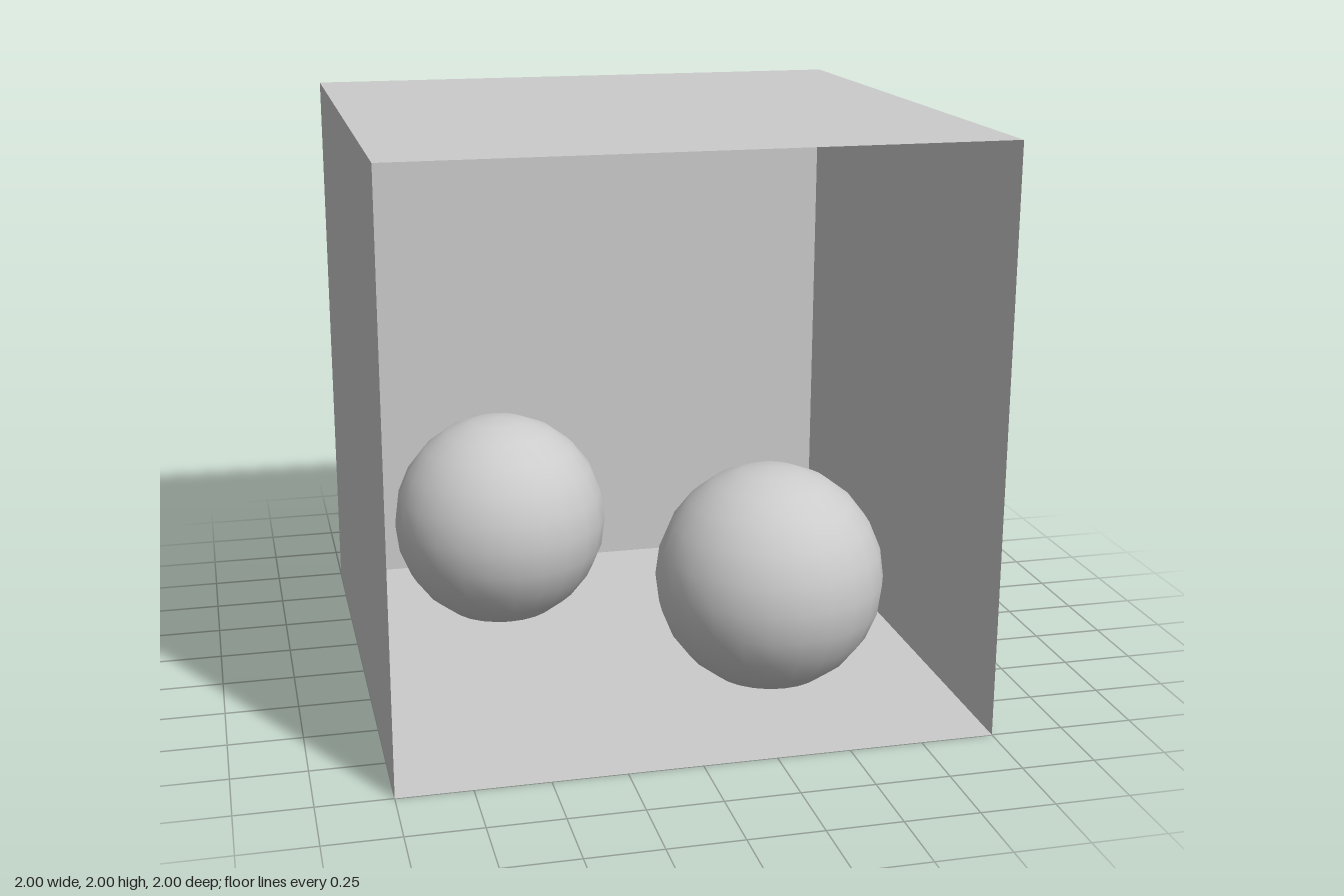
import * as THREE from 'three';

const material = new THREE.MeshStandardMaterial({ color: 0xcccccc });
const wallMaterial = new THREE.MeshStandardMaterial({ color: 0xcccccc, side: THREE.DoubleSide });

export function createModel() {
  const model = new THREE.Group();
  model.name = 'openBoxWithBalls';

  // Thin box open at the front: each wall is a plane one unit from the centre
  const box = new THREE.Group();
  box.name = 'box';
  box.position.y = 1;
  const walls = [
    ['leftWall', 1, 0, 0],
    ['rightWall', -1, 0, 0],
    ['ceiling', 0, 1, 0],
    ['floor', 0, -1, 0],
    ['backWall', 0, 0, -1],
  ];
  for (const [name, x, y, z] of walls) {
    const wall = new THREE.Mesh(new THREE.PlaneGeometry(2, 2), wallMaterial);
    wall.name = name;
    wall.position.set(x, y, z);
    wall.rotation.set(-y * Math.PI / 2, z < 0 ? Math.PI : x * Math.PI / 2, 0);
    box.add(wall);
  }
  model.add(box);

  // Two balls resting on the floor, one behind the other diagonally
  const radius = 0.4;
  const ballGeometry = new THREE.SphereGeometry(radius, 24, 12);
  for (const [name, x, z] of [['backBall', -0.43, -0.41], ['frontBall', 0.395, 0.4]]) {
    const ball = new THREE.Mesh(ballGeometry, material);
    ball.name = name;
    ball.position.set(x, radius, z);
    model.add(ball);
  }
  return model;
}
